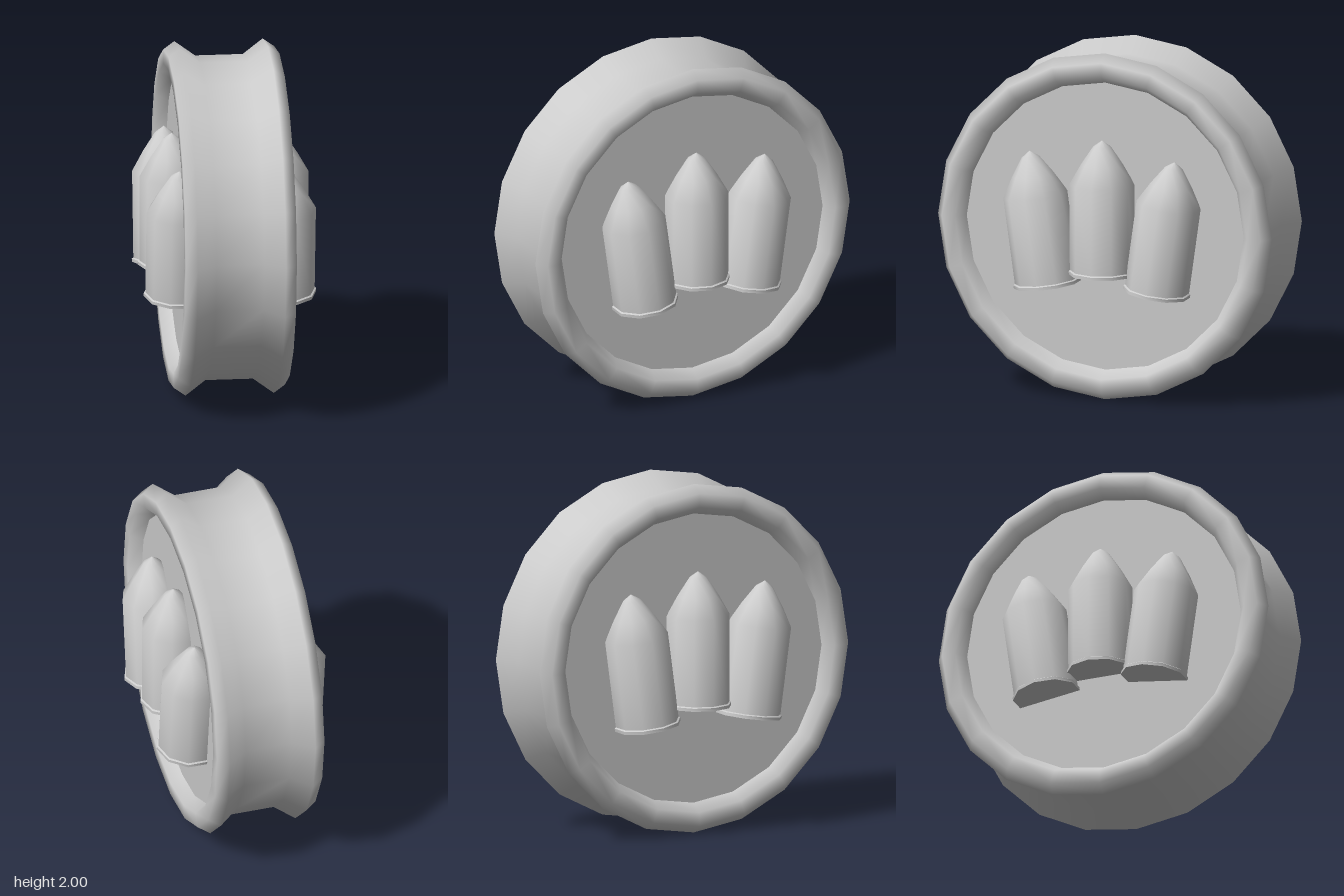
import * as THREE from 'three';
import { toCreasedNormals } from 'three/addons/utils/BufferGeometryUtils.js';

const grey = new THREE.MeshStandardMaterial({ color: 0xcccccc });
const points = list => list.map(([r, y]) => new THREE.Vector2(r, y));

function addMesh(parent, name, geometry) {
  const mesh = new THREE.Mesh(geometry, grey);
  mesh.name = name;
  parent.add(mesh);
  return mesh;
}

// Pointed round with a thin base rim, origin at the middle of its base
function roundGeometry() {
  const profile = points([
    [0, 0], [0.192, 0], [0.192, 0.018], [0.183, 0.024],
    [0.183, 0.52], [0.118, 0.635], [0.05, 0.737], [0, 0.772],
  ]);
  return toCreasedNormals(new THREE.LatheGeometry(profile, 10, Math.PI / 2), 0.8);
}

export function createModel() {
  const model = new THREE.Group();
  model.name = 'drumWithRounds';

  // Drum with a grooved edge and two raised rims, its axis along x
  const half = [[0.916, 0.135], [1, 0.25], [0.955, 0.315], [0.875, 0.315], [0.83, 0.245]];
  const profile = points([...half.map(([r, x]) => [r, -x]).reverse(), ...half]);
  const drum = new THREE.LatheGeometry(profile, 20);
  drum.rotateZ(-Math.PI / 2);
  addMesh(model, 'drumRim', drum).position.y = 1;

  const round = roundGeometry();
  for (const side of [1, -1]) {
    const label = side > 0 ? 'left' : 'right';

    // Recessed flat face
    const face = addMesh(model, label + 'Face', new THREE.CircleGeometry(0.83, 20));
    face.rotation.y = side * Math.PI / 2;
    face.position.set(side * 0.245, 1, 0);

    // Three rounds fanned out over the face
    for (const k of [-1, 0, 1]) {
      const mesh = addMesh(model, label + 'Round' + (k + 2), round);
      mesh.position.set(side * 0.297, k ? 0.65 : 0.735, k * 0.327);
      mesh.rotation.x = k * 0.14;
    }
  }
  return model;
}
